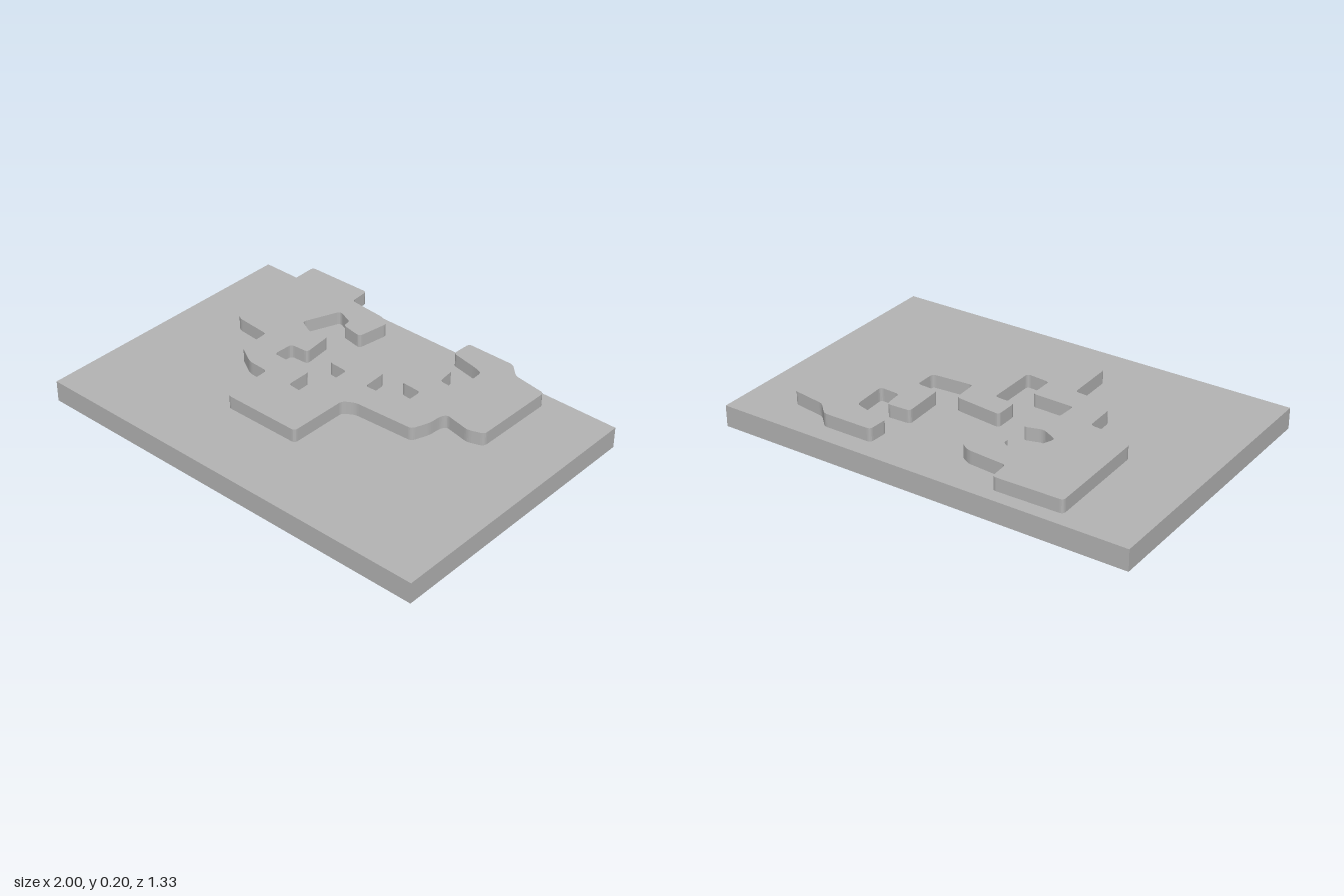
import * as THREE from 'three';

// Corner points of the raised plate as x, z pairs, walked around the outline
const OUTLINE = [
  // rear left block and its hooked arm
  -0.70, -0.655, -0.375, -0.66, -0.37, -0.56, -0.18, -0.545, -0.13, -0.515, -0.155, -0.36,
  -0.265, -0.38, -0.265, -0.42, -0.35, -0.455, -0.42, -0.28, -0.34, -0.24, -0.255, -0.265,
  // notches in the middle
  -0.24, -0.115, -0.33, -0.11, -0.335, -0.01, -0.13, -0.005, -0.13, 0.12, -0.015, 0.13,
  -0.015, -0.115, -0.115, -0.12, -0.115, -0.235, 0.115, -0.21, 0.12, -0.085, 0.32, -0.10,
  0.32, -0.205, 0.215, -0.21, 0.205, -0.415, 0.32, -0.42, 0.33, -0.325, 0.43, -0.32,
  // rear right arm
  0.42, -0.49, 0.37, -0.505, 0.24, -0.53, 0.245, -0.63, 0.485, -0.63, 0.545, -0.57,
  0.71, -0.545, 0.705, -0.15, 0.635, -0.125, 0.51, -0.15, 0.495, -0.125, 0.49, -0.06,
  // front edge
  0.46, 0.02, 0.17, 0.035, 0.12, 0.065, 0.115, 0.35, -0.265, 0.35, -0.27, 0.11,
  -0.375, 0.105, -0.47, 0.05, -0.475, -0.10, -0.65, -0.115, -0.69, -0.155,
];

// Closed shape with every corner softened by a small curve
function roundedShape(coords, radius) {
  const pts = [];
  for (let i = 0; i < coords.length; i += 2) pts.push(new THREE.Vector2(coords[i], -coords[i + 1]));
  const toward = (a, b) => a.clone().lerp(b, Math.min(0.4, radius / a.distanceTo(b)));
  const shape = new THREE.Shape();
  pts.forEach((p, i) => {
    const start = toward(p, pts[(i + pts.length - 1) % pts.length]);
    const end = toward(p, pts[(i + 1) % pts.length]);
    if (i === 0) shape.moveTo(start.x, start.y);
    else shape.lineTo(start.x, start.y);
    shape.quadraticCurveTo(p.x, p.y, end.x, end.y);
  });
  shape.closePath();
  return shape;
}

export function createModel() {
  const model = new THREE.Group();
  const grey = new THREE.MeshStandardMaterial({ color: 0xb4b4b4 });
  grey.name = 'grey';

  // Rectangular base slab
  const base = new THREE.Mesh(new THREE.BoxGeometry(2, 0.1, 1.333), grey);
  base.name = 'baseSlab';
  base.position.y = 0.05;
  model.add(base);

  // Irregular plate hovering just above the slab
  const geometry = new THREE.ExtrudeGeometry(roundedShape(OUTLINE, 0.018), {
    depth: 0.062, bevelEnabled: false, curveSegments: 4,
  });
  geometry.rotateX(-Math.PI / 2);
  const plate = new THREE.Mesh(geometry, grey);
  plate.name = 'raisedPlate';
  plate.position.y = 0.143;
  model.add(plate);

  return model;
}
